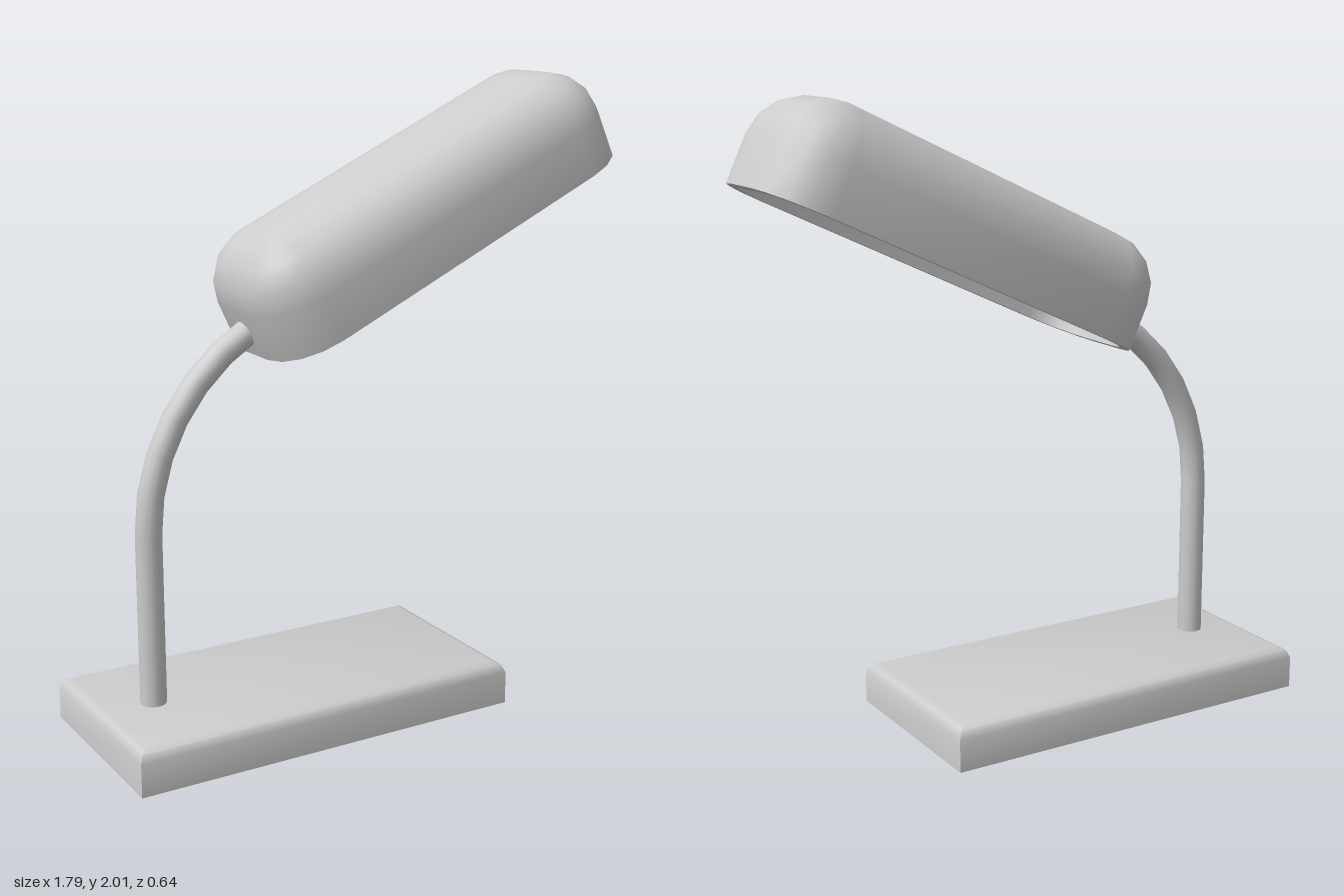
import * as THREE from 'three';
import { toCreasedNormals } from 'three/addons/utils/BufferGeometryUtils.js';

const material = new THREE.MeshStandardMaterial({ color: 0xcccccc });
const CORNER_STEPS = 4;

// One rounded-rectangle ring: half-size core (cx, cz) grown by radius r, at height y
function ring({ cx, cz, r, y }) {
  const points = [];
  [[1, 1], [-1, 1], [-1, -1], [1, -1]].forEach(([sx, sz], corner) => {
    for (let i = 0; i <= CORNER_STEPS; i++) {
      const a = (corner + i / CORNER_STEPS) * Math.PI / 2;
      points.push(sx * cx + r * Math.cos(a), y, sz * cz + r * Math.sin(a));
    }
  });
  return points;
}

// Skin a list of rings into one surface, keeping hard edges sharp
function loft(rings) {
  const n = 4 * (CORNER_STEPS + 1);
  const index = [];
  for (let j = 0; j < rings.length - 1; j++) {
    for (let i = 0; i < n; i++) {
      const a = j * n + i, b = j * n + (i + 1) % n;
      index.push(a, a + n, b, b, a + n, b + n);
    }
  }
  const geometry = new THREE.BufferGeometry();
  geometry.setAttribute('position', new THREE.Float32BufferAttribute(rings.flatMap(ring), 3));
  geometry.setIndex(index);
  return toCreasedNormals(geometry, 0.9);
}

function addPart(group, name, geometry) {
  const mesh = new THREE.Mesh(geometry, material);
  mesh.name = name;
  group.add(mesh);
  return mesh;
}

// Slab with a softened top edge
function baseGeometry() {
  const hx = 0.645, hz = 0.32, height = 0.14, bevel = 0.035;
  const rings = [{ cx: 0, cz: 0, r: 0, y: 0 }, { cx: hx, cz: hz, r: 0, y: 0 }];
  for (let i = 0; i <= 2; i++) {
    const a = i * Math.PI / 4;
    const inset = bevel * (1 - Math.cos(a));
    rings.push({ cx: hx - inset, cz: hz - inset, r: 0, y: height - bevel + bevel * Math.sin(a) });
  }
  rings.push({ cx: 0, cz: 0, r: 0, y: height });
  return loft(rings);
}

// Hollow hood, open underneath: inside from the crown down, then outside back up
function shadeGeometry() {
  const r = 0.178, wall = 0.035, skirt = 0.153;
  const cx = 0.6845 - r, cz = 0.255 - r;
  const dome = radius => {
    const rings = [{ cx, cz, r: radius, y: 0 }];
    for (let i = 0; i <= 4; i++) {
      const a = i * Math.PI / 8;
      rings.push({ cx, cz, r: i === 4 ? 0 : radius * Math.cos(a), y: skirt + radius * Math.sin(a) });
    }
    rings.push({ cx: 0, cz: 0, r: 0, y: skirt + radius });
    return rings;
  };
  return loft([...dome(r - wall).reverse(), ...dome(r)]);
}

// Arc that leans the stem over towards the shade
class StemArc extends THREE.Curve {
  getPoint(t, target = new THREE.Vector3()) {
    const radius = 0.673, a = t * THREE.MathUtils.degToRad(62);
    return target.set(radius * (1 - Math.cos(a)), radius * Math.sin(a), 0);
  }
}

export function createModel() {
  const model = new THREE.Group();
  model.name = 'deskLamp';

  addPart(model, 'base', baseGeometry()).position.x = -0.255;

  // Stem: straight lower post and curved neck
  const stem = new THREE.Group();
  stem.name = 'stem';
  stem.position.set(-0.72, 0, 0.012);
  model.add(stem);
  const radius = 0.041, sides = 16, bottom = 0.12, bend = 0.68;
  const post = addPart(stem, 'post',
    new THREE.CylinderGeometry(radius, radius, bend - bottom, sides, 1, true));
  post.position.y = (bend + bottom) / 2;
  const neck = addPart(stem, 'neck', new THREE.TubeGeometry(new StemArc(), 6, radius, sides));
  neck.position.y = bend;

  // Shade tilted up along the neck
  const shade = addPart(model, 'shade', shadeGeometry());
  shade.position.set(0.27, 1.48, 0.013);
  shade.rotation.z = 0.4375;

  return model;
}
